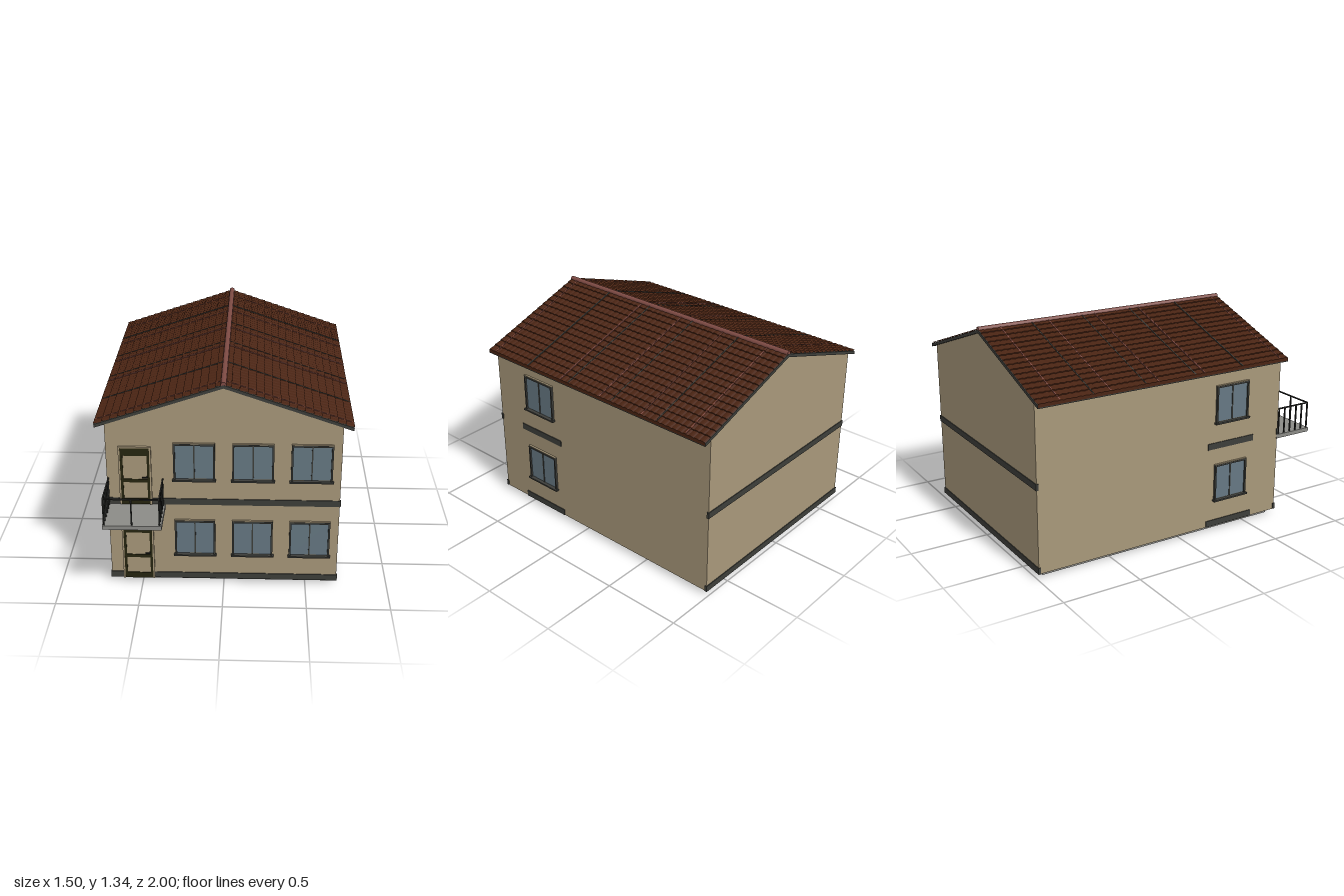
import * as THREE from 'three';

const mat = (name, color, extra = {}) => {
  const m = new THREE.MeshStandardMaterial({ color, ...extra });
  m.name = name;
  return m;
};

export function createModel() {
  const wall = mat('plaster', 0xa8987a);
  const dark = mat('charcoal trim', 0x3d3e3a);
  const glass = mat('window glass', 0x667883);
  const doorMat = mat('door olive', 0x26250f);
  const concrete = mat('concrete', 0x8b8b87);
  const tile = mat('roof tile', 0x4a2413, { flatShading: true });
  const ridgeMat = mat('ridge clay', 0x7e4b44);
  const iron = mat('railing iron', 0x252624);

  const house = new THREE.Group();
  house.name = 'house';

  // Box given by its extents on each axis
  const box = (parent, name, m, x0, x1, y0, y1, z0, z1) => {
    const mesh = new THREE.Mesh(new THREE.BoxGeometry(x1 - x0, y1 - y0, z1 - z0), m);
    mesh.position.set((x0 + x1) / 2, (y0 + y1) / 2, (z0 + z1) / 2);
    mesh.name = name;
    parent.add(mesh);
    return mesh;
  };
  const group = (name, x, y, z, turn = 0) => {
    const g = new THREE.Group();
    g.name = name;
    g.position.set(x, y, z);
    g.rotation.y = turn;
    house.add(g);
    return g;
  };
  // Outline in x and y, pushed from z0 to z1
  const prism = (name, m, pts, z0, z1) => {
    const shape = new THREE.Shape(pts.map(([x, y]) => new THREE.Vector2(x, y)));
    const geo = new THREE.ExtrudeGeometry(shape, { depth: z1 - z0, bevelEnabled: false });
    const mesh = new THREE.Mesh(geo, m);
    mesh.position.z = z0;
    mesh.name = name;
    house.add(mesh);
  };

  const FRONT = 0.74, BACK = -0.99, HALF = 0.69, PITCH = 0.34, EAVE = 0.75;

  // Foundation and gabled walls
  box(house, 'foundation', concrete, -0.655, 0.655, 0, 0.032, -0.95, 0.70);
  prism('walls', wall, [[-HALF, 0.03], [HALF, 0.03], [HALF, 1.073], [0, 1.308], [-HALF, 1.073]], BACK, FRONT);

  // Floor bands on the front, back and below the side windows
  for (const y of [0.031, 0.55]) {
    box(house, 'frontBand', dark, -0.695, 0.695, y, y + 0.04, FRONT - 0.01, FRONT + 0.005);
    box(house, 'backBand', dark, -0.695, 0.695, y, y + 0.04, BACK - 0.005, BACK + 0.01);
    for (const s of [-1, 1]) {
      const x = s * HALF;
      box(house, 'sideBand', dark, x - 0.005, x + 0.005, y, y + 0.04, 0.19, 0.54);
    }
  }

  // Sliding window, facing its own +z, origin at bottom centre
  const addWindow = (x, y, z, turn) => {
    const g = group('window', x, y, z, turn);
    const w = 0.122, h = 0.24, t = 0.011;
    box(g, 'glass', glass, -w + t, w - t, t, h - t, -0.005, 0.004);
    for (const s of [-1, 1]) {
      box(g, 'jamb', dark, s * (w - t / 2) - t / 2, s * (w - t / 2) + t / 2, 0, h, -0.005, 0.014);
    }
    box(g, 'header', dark, -w, w, h - t, h, -0.005, 0.014);
    box(g, 'mullion', dark, -0.004, 0.004, t, h - t, -0.005, 0.008);
    box(g, 'sill', dark, -w - 0.007, w + 0.007, -0.003, 0.007, -0.005, 0.024);
    box(g, 'lintel', wall, -w, w, h, h + 0.004, -0.005, 0.012);
  };
  for (const y of [0.203, 0.716]) {
    for (const x of [-0.173, 0.173, 0.517]) addWindow(x, y, FRONT, 0);
    for (const s of [-1, 1]) addWindow(s * HALF, y, 0.365, s * Math.PI / 2);
  }

  // Glazed doors on both floors
  for (const y of [0.032, 0.553]) {
    const g = group('door', -0.52, y, FRONT);
    for (const s of [-1, 1]) {
      box(g, 'casing', wall, s * 0.091 - 0.005, s * 0.091 + 0.005, 0, 0.38, -0.005, 0.015);
      box(g, 'stile', doorMat, s * 0.079 - 0.008, s * 0.079 + 0.008, 0, 0.372, -0.005, 0.012);
    }
    box(g, 'casingTop', wall, -0.096, 0.096, 0.372, 0.38, -0.005, 0.015);
    box(g, 'topRail', doorMat, -0.072, 0.072, 0.322, 0.372, -0.005, 0.012);
    box(g, 'midRail', doorMat, -0.072, 0.072, 0.147, 0.168, -0.005, 0.012);
    box(g, 'bottomRail', doorMat, -0.072, 0.072, 0, 0.038, -0.005, 0.012);
    box(g, 'panel', wall, -0.072, 0.072, 0.038, 0.322, -0.004, 0.007);
    box(g, 'handleStem', iron, 0.067, 0.074, 0.182, 0.189, 0.01, 0.03);
    box(g, 'handle', iron, 0.043, 0.074, 0.182, 0.189, 0.024, 0.03);
  }

  // Balcony slab with railing on three sides
  const balcony = group('balcony', 0, 0, 0);
  const L = -0.682, R = -0.36, F = 0.99, r = 0.004;
  box(balcony, 'slab', concrete, -0.692, -0.348, 0.522, 0.548, FRONT - 0.005, 1);
  box(balcony, 'frontRail', iron, L - r, R + r, 0.714, 0.722, F - r, F + r);
  const post = (x, z) => box(balcony, 'post', iron, x - r, x + r, 0.545, 0.716, z - r, z + r);
  post((L + R) / 2, F);
  for (const x of [L, R]) {
    box(balcony, 'sideRail', iron, x - r, x + r, 0.714, 0.722, FRONT, F);
    for (let i = 0; i < 6; i++) post(x, F - i * 0.047);
  }

  // Roof deck
  const deck = (x, top) => 1.305 + (top ? 0.02 : 0) - PITCH * Math.abs(x);
  prism('roofDeck', dark, [
    [-EAVE, deck(EAVE, 0)], [0, deck(0, 0)], [EAVE, deck(EAVE, 0)],
    [EAVE, deck(EAVE, 1)], [0, deck(0, 1)], [-EAVE, deck(EAVE, 1)],
  ], -1, 0.745);

  // Tiles: ribbed along z, with a step at every course down the slope
  const tiledSlope = (s) => {
    const courses = 16, columns = 44, cols = columns * 4;
    const z0 = -0.998, z1 = 0.743, pos = [], idx = [];
    const rows = [];
    for (let c = 0; c < courses; c++) {
      rows.push([c / courses, 0.001], [(c + 1) / courses, 0.006]);
    }
    rows.push([1, -0.012]);
    rows.forEach(([t, lift], i) => {
      for (let j = 0; j <= cols; j++) {
        const rib = i === rows.length - 1 ? 0 : 0.004 * Math.abs(Math.sin(j * Math.PI / 4));
        const x = t * (EAVE + 0.002);
        pos.push(s * x, deck(x, 1) + lift + rib, z0 + (z1 - z0) * j / cols);
        if (i && j) {
          const d = i * (cols + 1) + j, c = d - 1, b = d - cols - 1, a = b - 1;
          if (s > 0) idx.push(a, b, c, b, d, c);
          else idx.push(a, c, b, b, c, d);
        }
      }
    });
    const geo = new THREE.BufferGeometry();
    geo.setAttribute('position', new THREE.Float32BufferAttribute(pos, 3));
    geo.setIndex(idx);
    geo.computeVertexNormals();
    const mesh = new THREE.Mesh(geo, tile);
    mesh.name = 'roofTiles';
    house.add(mesh);
  };

  // Thin joint strips running down the slope
  const joint = (s, z, m) => {
    const len = EAVE * Math.hypot(1, PITCH);
    const mesh = new THREE.Mesh(new THREE.BoxGeometry(len, 0.006, 0.007), m);
    mesh.position.set(s * EAVE / 2, deck(EAVE / 2, 1) + 0.006, z);
    mesh.rotation.z = -s * Math.atan(PITCH);
    mesh.name = 'tileJoint';
    house.add(mesh);
  };
  for (const s of [-1, 1]) {
    tiledSlope(s);
    for (let i = 0; i < 4; i++) {
      joint(s, -0.65 + i * 0.347, dark);
      joint(s, -0.86 + i * 0.323, ridgeMat);
    }
    joint(s, 0.685, ridgeMat);
  }

  // Ridge cap
  const ridge = new THREE.Mesh(new THREE.CylinderGeometry(0.017, 0.017, 1.742, 12), ridgeMat);
  ridge.rotation.x = Math.PI / 2;
  ridge.position.set(0, 1.326, -0.128);
  ridge.name = 'ridgeCap';
  house.add(ridge);

  return house;
}
